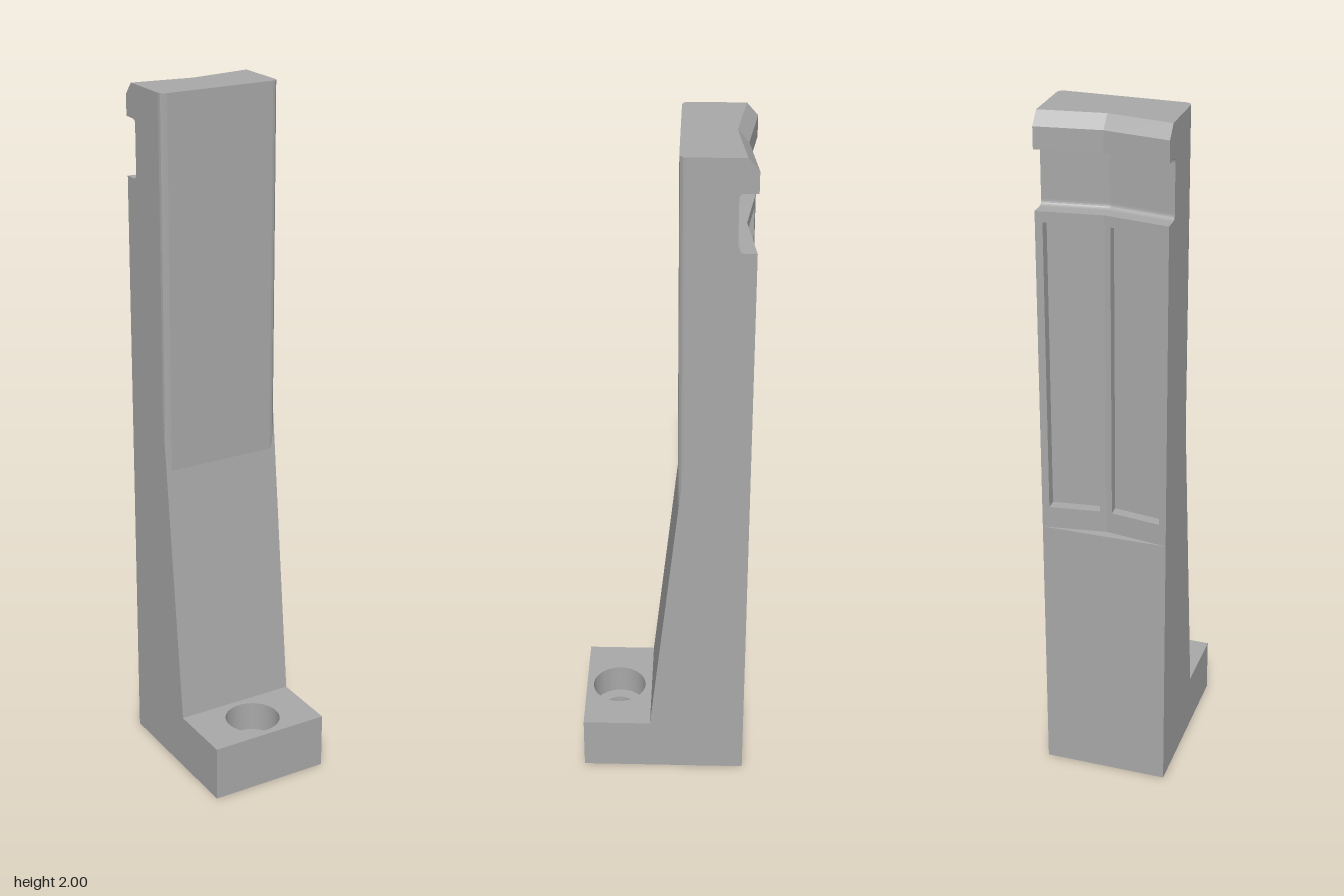
import * as THREE from 'three';
import { toCreasedNormals } from 'three/addons/utils/BufferGeometryUtils.js';

const HALF = 0.18;   // half width
const FOOT = 0.165;  // foot height
const LEDGE = 0.8;   // the back is V-hollowed above this height

const steel = new THREE.MeshStandardMaterial({ color: 0xa8a8a8 });
steel.name = 'grey steel';

// Push the back face in towards the centre line, forming a shallow V
function hollowBack(geometry) {
  const g = geometry.index ? geometry.toNonIndexed() : geometry;
  const p = g.attributes.position;
  for (let i = 0; i < p.count; i++) {
    if (p.getZ(i) < -0.1 && p.getY(i) > LEDGE + 0.0005) {
      p.setZ(i, p.getZ(i) + 0.025 * (1 - Math.abs(p.getX(i)) / HALF));
    }
  }
  g.computeVertexNormals();
  return g;
}

// Extrude a plan shape (x, -z) upwards from y0 to y1
function plan(shape, y0, y1) {
  const g = new THREE.ExtrudeGeometry(shape, { depth: y1 - y0, bevelEnabled: false, curveSegments: 24 });
  g.rotateX(-Math.PI / 2).translate(0, y0, 0);
  return toCreasedNormals(g, 0.6);
}

// Foot slice: rectangle with a front and a back bolt hole
function footSlice(frontRadius, backRadius) {
  const s = new THREE.Shape();
  s.moveTo(-HALF, -0.24).lineTo(HALF, -0.24).lineTo(HALF, 0.24).lineTo(-HALF, 0.24).closePath();
  s.holes.push(new THREE.Path().absarc(0, -0.14, frontRadius, 0, Math.PI * 2, true));
  s.holes.push(new THREE.Path().absarc(0, 0.14, backRadius, 0, Math.PI * 2, true));
  return s;
}

export function createModel() {
  const group = new THREE.Group();
  const add = (name, geometry) => {
    const m = new THREE.Mesh(geometry, steel);
    m.name = name;
    group.add(m);
  };

  // Foot: through bore below, counterbore above
  add('footLower', plan(footSlice(0.046, 0.046), 0, 0.075));
  const upper = footSlice(0.08, 0.046);
  // the upper slice reaches only as far as the column's foot line at the back
  add('footUpper', plan(upper, 0.075, FOOT));

  // Column: side profile (-z, y) with sloped front, sunken panel, hook groove and chamfer
  const s = new THREE.Shape();
  s.moveTo(-0.04, FOOT);
  s.lineTo(0.24, FOOT);
  s.lineTo(0.24, LEDGE);
  s.lineTo(0.24, LEDGE + 0.001);
  s.lineTo(0.24, 0.865);
  s.lineTo(0.21, 0.865);
  s.lineTo(0.21, 1.71);
  s.lineTo(0.24, 1.71);
  s.lineTo(0.24, 1.74);
  s.lineTo(0.205, 1.74);
  s.quadraticCurveTo(0.19, 1.74, 0.19, 1.755);
  s.lineTo(0.19, 1.89);
  s.quadraticCurveTo(0.19, 1.905, 0.205, 1.905);
  s.lineTo(0.24, 1.905);
  s.lineTo(0.24, 1.965);
  s.lineTo(0.21, 2);
  s.lineTo(0.058, 2);
  s.lineTo(0.058, 1.1);
  s.closePath();
  const column = new THREE.ExtrudeGeometry(s, { depth: HALF * 2, steps: 2, bevelEnabled: false, curveSegments: 6 });
  column.rotateY(Math.PI / 2).translate(-HALF, 0, 0);
  add('column', hollowBack(column));

  // Front face of the upper column, with rounded vertical edges
  const r = 0.018;
  const f = new THREE.Shape();
  f.moveTo(-HALF, 0.058);
  f.absarc(-HALF + r, 0.04 + r, r, Math.PI, Math.PI * 1.5, false);
  f.absarc(HALF - r, 0.04 + r, r, Math.PI * 1.5, Math.PI * 2, false);
  f.closePath();
  add('upperFront', plan(f, 0.9, 2));

  // Upright bars that divide the sunken back into two panels
  for (const [name, x0, x1] of [['rightBar', -HALF, -0.16], ['centreBar', -0.017, 0.017], ['leftBar', 0.16, HALF]]) {
    const bar = new THREE.BoxGeometry(x1 - x0, 1.71 - 0.865, 0.04, 2, 1, 1);
    bar.translate((x0 + x1) / 2, (1.71 + 0.865) / 2, -0.22);
    add(name, hollowBack(bar));
  }
  return group;
}
